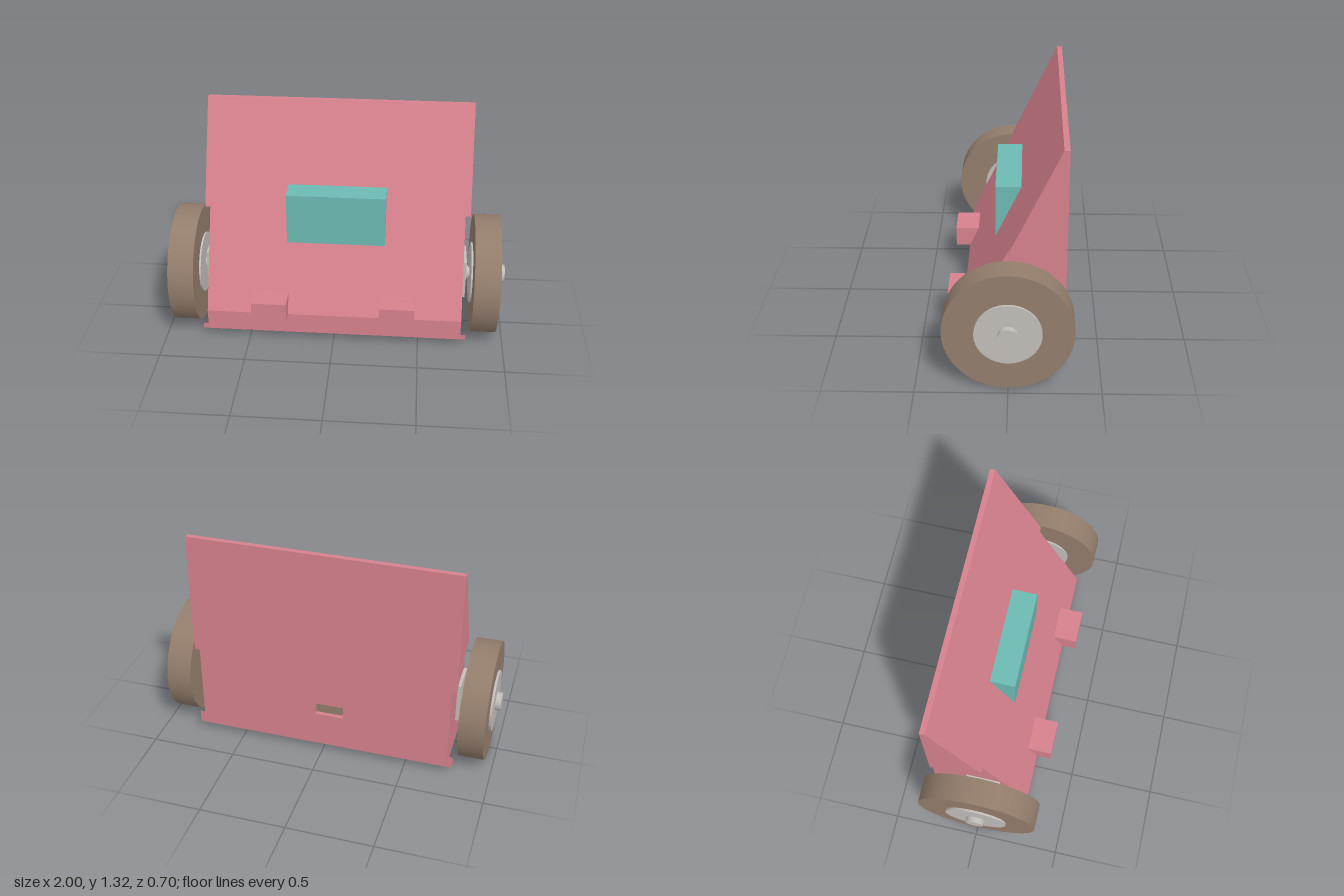
import * as THREE from 'three';

const mat = (name, color) => {
  const m = new THREE.MeshStandardMaterial({ color });
  m.name = name;
  return m;
};

export function createModel() {
  const pink = mat('pink', 0xd6818d);
  const teal = mat('teal', 0x6cbab3);
  const brown = mat('brown', 0x937d6c);
  const grey = mat('grey', 0xc2bdb9);

  const model = new THREE.Group();
  model.name = 'wedgeRobot';

  const add = (name, geometry, material, parent = model) => {
    const mesh = new THREE.Mesh(geometry, material);
    mesh.name = name;
    parent.add(mesh);
    return mesh;
  };
  // Box given by its limits on each axis
  const box = (name, [x0, x1], [y0, y1], [z0, z1], material, parent) =>
    add(name, new THREE.BoxGeometry(x1 - x0, y1 - y0, z1 - z0), material, parent)
      .position.set((x0 + x1) / 2, (y0 + y1) / 2, (z0 + z1) / 2);
  // Side profile drawn as (z, y), extruded from x0 to x1
  const extrudeX = (shape, x0, x1) =>
    new THREE.ExtrudeGeometry(shape, { depth: x1 - x0, bevelEnabled: false, curveSegments: 24 })
      .rotateY(-Math.PI / 2).translate(x1, 0, 0);

  const axleY = 0.35, wellR = 0.38;
  const bottom = 0.045, top = 1.315, back = -0.305, crest = -0.275, nose = 0.265;
  const innerX = 0.75, outerX = 0.78;

  // Wedge body between the wheel wells
  const wedge = new THREE.Shape([
    [crest, bottom], [nose, bottom], [nose, 0.17], [crest, top],
  ].map(([z, y]) => new THREE.Vector2(z, y)));
  add('wedgeBody', extrudeX(wedge, -innerX, innerX), pink);

  // Back panel with a small slot
  const panel = new THREE.Shape([
    [-innerX, bottom], [innerX, bottom], [innerX, top], [-innerX, top],
  ].map(([x, y]) => new THREE.Vector2(x, y)));
  panel.holes.push(new THREE.Path([
    [-0.125, 0.26], [-0.125, 0.335], [0.042, 0.335], [0.042, 0.26],
  ].map(([x, y]) => new THREE.Vector2(x, y))));
  add('backPanel', new THREE.ExtrudeGeometry(panel, { depth: crest - back, bevelEnabled: false })
    .translate(0, 0, back), pink);
  box('slotInsert', [-0.125, 0.042], [0.26, 0.335], [-0.28, -0.272], brown);

  // Side skins, cut away by the round wheel well
  const angle = (z, y) => Math.atan2(y - axleY, z);
  const upper = new THREE.Shape();
  upper.moveTo(back, top);
  upper.lineTo(crest, top);
  upper.lineTo(0, axleY + wellR);
  upper.absarc(0, axleY, wellR, Math.PI / 2, angle(back, 0.577), false);
  upper.closePath();

  const rearCorner = new THREE.Shape();
  rearCorner.moveTo(back, bottom);
  rearCorner.lineTo(back, 0.123);
  rearCorner.absarc(0, axleY, wellR, angle(back, 0.123), angle(-0.227, bottom), false);
  rearCorner.closePath();

  const frontCorner = new THREE.Shape();
  frontCorner.moveTo(nose, bottom);
  frontCorner.lineTo(0.227, bottom);
  frontCorner.absarc(0, axleY, wellR, angle(0.227, bottom), angle(nose, 0.078), false);
  frontCorner.closePath();

  for (const [x0, x1, side] of [[innerX, outerX, 'left'], [-outerX, -innerX, 'right']]) {
    add(side + 'UpperSkin', extrudeX(upper, x0, x1), pink);
    add(side + 'RearCornerSkin', extrudeX(rearCorner, x0, x1), pink);
    add(side + 'FrontCornerSkin', extrudeX(frontCorner, x0, x1), pink);
  }

  // Block on the slope and the two front bumpers
  box('slopeBlock', [-0.288, 0.288], [0.552, 0.865], [-0.07, 0.083], teal);
  for (const [x0, x1, side] of [[0.27, 0.473, 'left'], [-0.473, -0.27, 'right']]) {
    box(side + 'Bumper', [x0, x1], [0.168, 0.29], [0.2, 0.35], pink);
  }

  // Wheels, hubs, axles and motor mounts
  const wheelParts = [
    ['tire', 0.35, 0.805, 0.955, brown],
    ['hub', 0.18, 0.795, 0.968, grey],
    ['axle', 0.053, 0.96, 1.0, grey],
    ['shaft', 0.03, 0.76, 0.81, grey],
    ['shaftCollar', 0.042, 0.765, 0.785, grey],
  ];
  for (const [s, side] of [[1, 'left'], [-1, 'right']]) {
    const wheel = new THREE.Group();
    wheel.name = side + 'Wheel';
    model.add(wheel);
    for (const [name, r, x0, x1, material] of wheelParts) {
      const g = new THREE.CylinderGeometry(r, r, x1 - x0, 64).rotateZ(Math.PI / 2);
      add(name, g, material, wheel).position.set(s * (x0 + x1) / 2, axleY, 0);
    }
    const mount = [s * 0.745, s * 0.77].sort((a, b) => a - b);
    box('motorMount', mount, [0.235, 0.475], [-0.1, 0.1], grey, wheel);
  }

  return model;
}
